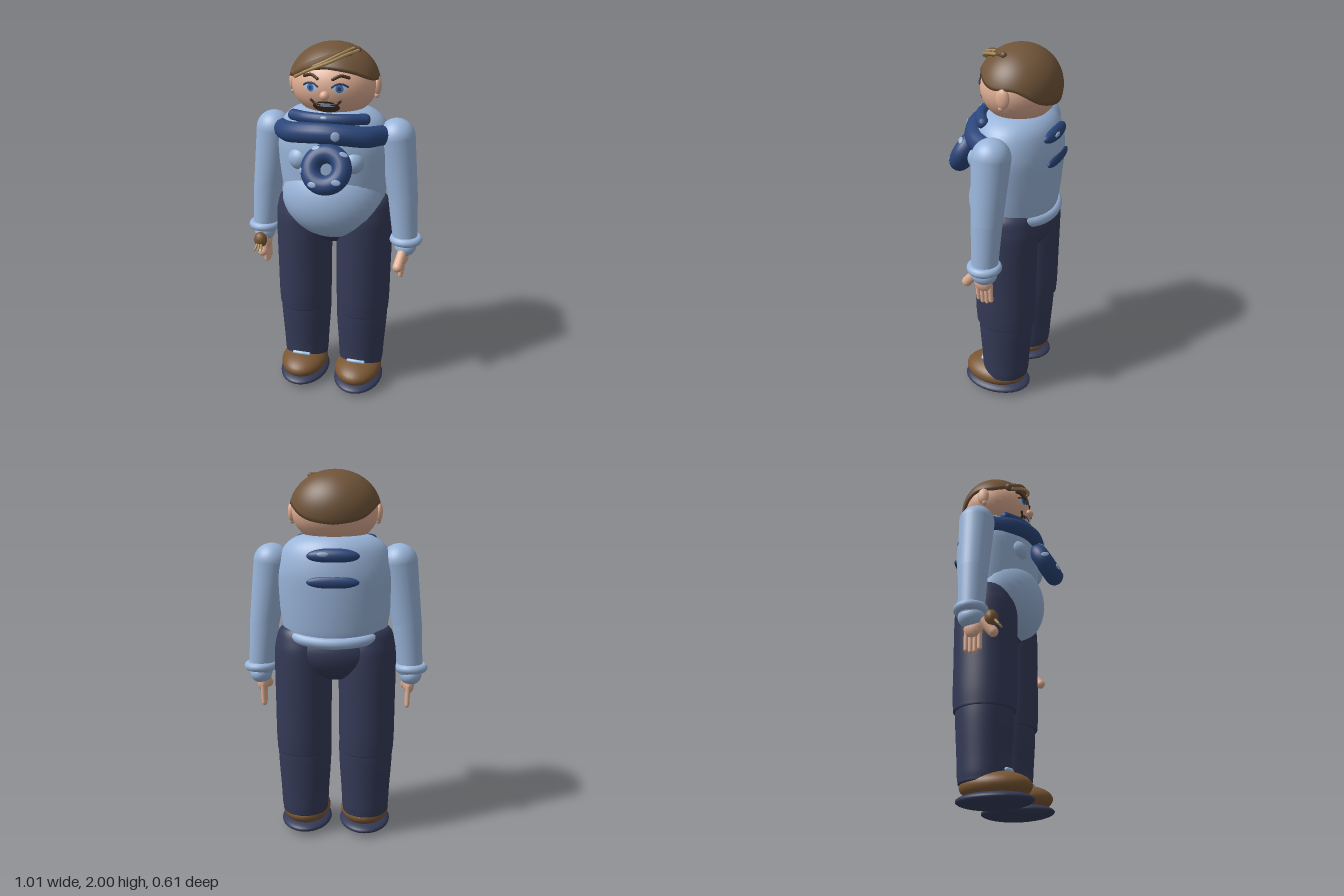
import * as THREE from 'three';

const mat = (name, color, side = THREE.FrontSide) => {
  const m = new THREE.MeshStandardMaterial({ color, side });
  m.name = name;
  return m;
};

export function createModel() {
  const model = new THREE.Group();
  model.name = 'standingMan';
  const skin = mat('skin', 0xdfae94);
  const hair = mat('hairBrown', 0x705439, THREE.DoubleSide);
  const gold = mat('goldenStrand', 0xa88b58);
  const shirt = mat('shirtBlue', 0x9ab5da);
  const scarf = mat('scarfBlue', 0x2b467a);
  const navy = mat('trouserNavy', 0x343a57);
  const leather = mat('shoeBrown', 0x795633);
  const dark = mat('darkBrown', 0x4a3020);
  const pale = mat('paleBlue', 0xa9cdf0);
  const iris = mat('irisBlue', 0x3f6fb0);
  const V = (x, y, z) => new THREE.Vector3(x, y, z);

  const add = (name, geo, material) => {
    const mesh = new THREE.Mesh(geo, material);
    mesh.name = name;
    model.add(mesh);
    return mesh;
  };
  // Ellipsoid, with fewer sides when small
  const ball = (name, m, p, r, rot = [0, 0, 0]) => {
    const n = Math.max(...r) > 0.06 ? 32 : 14;
    const mesh = add(name, new THREE.SphereGeometry(1, n, Math.round(n * 0.65)), m);
    mesh.position.set(...p);
    mesh.scale.set(...r);
    mesh.rotation.set(...rot);
    return mesh;
  };
  const tube = (name, m, pts, r) => {
    const curve = new THREE.CatmullRomCurve3(pts.map(p => V(...p)));
    const big = r > 0.025;
    add(name, new THREE.TubeGeometry(curve, big ? 36 : 20, r, big ? 16 : 8), m);
    for (const p of [pts[0], pts[pts.length - 1]]) ball(name + 'End', m, p, [r, r, r]);
  };
  // Tapered round limb segment with ball ends
  const limb = (name, m, a, b, ra, rb) => {
    const A = V(...a), B = V(...b), d = B.clone().sub(A);
    const mesh = add(name, new THREE.CylinderGeometry(rb, ra, d.length(), ra > 0.06 ? 32 : 14, 1, true), m);
    mesh.position.copy(A).add(B).multiplyScalar(0.5);
    mesh.quaternion.setFromUnitVectors(V(0, 1, 0), d.normalize());
    ball(name + 'Start', m, a, [ra, ra, ra]);
    ball(name + 'Tip', m, b, [rb, rb, rb]);
  };
  const lathe = (name, m, profile, p, zScale) => {
    const curve = new THREE.SplineCurve(profile.map(q => new THREE.Vector2(...q)));
    const pts = curve.getPoints(40).map(q => new THREE.Vector2(Math.max(0, q.x), q.y));
    const mesh = add(name, new THREE.LatheGeometry(pts, 44), m);
    mesh.position.set(...p);
    mesh.scale.z = zScale;
  };

  // Torso, belly and chest
  lathe('torso', shirt, [[0, 1.05], [0.2, 1.07], [0.265, 1.13], [0.288, 1.22], [0.308, 1.4],
    [0.307, 1.5], [0.275, 1.6], [0.21, 1.655], [0.12, 1.677], [0, 1.682]], [0, 0, -0.07], 0.73);
  ball('belly', shirt, [0, 1.18, -0.03], [0.28, 0.235, 0.222]);
  for (const s of [-1, 1]) ball('chest', shirt, [s * 0.14, 1.42, 0.09], [0.065, 0.065, 0.065]);
  tube('shirtHem', shirt, [[-0.24, 1.15, -0.15], [-0.15, 1.13, -0.23], [0, 1.12, -0.265],
    [0.15, 1.13, -0.23], [0.24, 1.15, -0.15]], 0.03);
  ball('hips', navy, [0, 1.05, -0.09], [0.27, 0.16, 0.17]);

  for (const s of [-1, 1]) {
    // Leg with a knee seam, shoe and lace
    lathe('upperLeg', navy, [[0, 0.46], [0.13, 0.48], [0.15, 0.52], [0.154, 0.75], [0.156, 1],
      [0.148, 1.1], [0.115, 1.18], [0, 1.21]], [s * 0.174, 0, -0.07], 1.1);
    lathe('lowerLeg', navy, [[0, 0.11], [0.11, 0.115], [0.128, 0.14], [0.135, 0.25], [0.148, 0.48],
      [0.13, 0.54], [0, 0.56]], [s * 0.17, 0, -0.07], 1.02);
    ball('shoe', leather, [s * 0.167, 0.105, -0.01], [0.136, 0.075, 0.185]);
    ball('sole', navy, [s * 0.167, 0.04, -0.015], [0.143, 0.04, 0.198]);
    tube('lace', pale, [[s * 0.122, 0.178, 0.062], [s * 0.167, 0.182, 0.068], [s * 0.212, 0.178, 0.062]], 0.01);

    // Arm, cuff and hand
    limb('upperArm', shirt, [s * 0.338, 1.525, -0.068], [s * 0.385, 1.2, -0.062], 0.098, 0.08);
    limb('forearm', shirt, [s * 0.385, 1.2, -0.062], [s * 0.408, 0.95, -0.058], 0.08, 0.068);
    const cuff = add('cuff', new THREE.TorusGeometry(0.067, 0.024, 14, 36), shirt);
    cuff.position.set(s * 0.412, 0.952, -0.058);
    cuff.rotation.x = Math.PI / 2;
    ball('sleeveEnd', shirt, [s * 0.412, 0.91, -0.055], [0.06, 0.055, 0.07]);
    ball('palm', skin, [s * 0.403, 0.855, -0.045], [0.032, 0.055, 0.052]);
    for (let i = 0; i < 4; i++) {
      const z = -0.012 - i * 0.024, tip = 0.745 - (i === 1 || i === 2 ? 0.012 : 0);
      limb('finger', skin, [s * 0.4, 0.85, z], [s * 0.396, tip, z - 0.002], 0.013, 0.012);
    }
    limb('thumb', skin, [s * 0.402, 0.885, 0.005], [s * 0.39, 0.825, 0.055], 0.026, 0.027);
  }

  // Small round charm held in the right hand
  ball('heldBall', leather, [-0.403, 0.895, 0.05], [0.038, 0.045, 0.035]);
  for (let i = -1; i <= 1; i++)
    limb('heldProng', gold, [-0.403 + i * 0.012, 0.875, 0.075], [-0.403 + i * 0.02, 0.848, 0.098], 0.008, 0.005);

  // Scarf: front band, collar roll, knot ring and the parts showing at the back
  tube('scarfBand', scarf, [[-0.262, 1.542, -0.005], [-0.2, 1.552, 0.078], [-0.1, 1.568, 0.128],
    [0, 1.576, 0.145], [0.1, 1.568, 0.128], [0.2, 1.552, 0.078], [0.262, 1.542, -0.005]], 0.055);
  tube('scarfCollar', scarf, [[-0.19, 1.635, 0.045], [-0.1, 1.64, 0.1], [0, 1.642, 0.12],
    [0.1, 1.64, 0.1], [0.19, 1.635, 0.045]], 0.03);
  const knot = add('scarfRing', new THREE.TorusGeometry(0.082, 0.051, 20, 44), scarf);
  knot.position.set(0.032, 1.41, 0.215);
  knot.rotation.x = -0.5;
  ball('scarfBackUpper', scarf, [0, 1.57, -0.262], [0.135, 0.04, 0.038], [0.25, 0, 0]);
  ball('scarfBackLower', scarf, [0, 1.44, -0.285], [0.135, 0.033, 0.022]);
  // Pale flecks lying on the ring and band
  for (const [a, b] of [[2.1, 0.9], [0.7, 0.8], [4.2, 1.1], [5.5, 1.2], [3.3, 0.5]]) {
    const r = 0.082 + 0.051 * Math.cos(b);
    const fleck = new THREE.Mesh(new THREE.SphereGeometry(1, 14, 8), shirt);
    fleck.name = 'scarfFleck';
    fleck.position.set(Math.cos(a) * r, Math.sin(a) * r, 0.051 * Math.sin(b));
    fleck.scale.set(0.024, 0.015, 0.004);
    fleck.quaternion.setFromUnitVectors(V(0, 0, 1),
      V(Math.cos(a) * Math.cos(b), Math.sin(a) * Math.cos(b), Math.sin(b)));
    knot.add(fleck);
  }
  ball('bandFleck', shirt, [0.073, 1.575, 0.19], [0.024, 0.025, 0.006], [0, 0.3, 0]);
  ball('collarFleck', shirt, [0, 1.655, 0.147], [0.018, 0.008, 0.005], [-0.4, 0, 0]);
  ball('backFleck', shirt, [0.05, 1.58, -0.298], [0.03, 0.012, 0.006]);

  // Head, ears and nose
  const hc = V(0, 1.79, -0.075), hr = V(0.228, 0.175, 0.198);
  ball('head', skin, hc.toArray(), hr.toArray());
  for (const s of [-1, 1]) {
    ball('ear', skin, [s * 0.228, 1.785, -0.078], [0.02, 0.052, 0.036]);
    ball('earLobe', skin, [s * 0.226, 1.738, -0.07], [0.014, 0.016, 0.016]);
  }
  ball('nose', skin, [0, 1.762, 0.127], [0.025, 0.024, 0.025]);

  // Face details follow the front of the head
  const faceZ = (x, y) => hc.z + hr.z * Math.sqrt(Math.max(0, 1 - (x / hr.x) ** 2 - ((y - hc.y) / hr.y) ** 2));
  const patch = (name, m, cx, cy, rx, ry, lift) => {
    const g = new THREE.RingGeometry(0.001, 1, 28, 4), p = g.attributes.position;
    for (let i = 0; i < p.count; i++) {
      const x = cx + p.getX(i) * rx, y = cy + p.getY(i) * ry;
      p.setXYZ(i, x, y, faceZ(x, y) + lift);
    }
    g.computeVertexNormals();
    add(name, g, m);
  };
  const faceLine = (name, m, pts, r) => tube(name, m, pts.map(([x, y]) => [x, y, faceZ(x, y) + 0.004]), r);
  for (const s of [-1, 1]) {
    patch('eyeWhite', pale, s * 0.075, 1.8, 0.036, 0.021, 0.004);
    patch('eyeIris', iris, s * 0.075, 1.799, 0.019, 0.02, 0.007);
    patch('eyePupil', navy, s * 0.075, 1.799, 0.009, 0.01, 0.009);
    faceLine('eyelid', navy, [[s * 0.037, 1.806], [s * 0.06, 1.82], [s * 0.09, 1.82], [s * 0.114, 1.808]], 0.005);
    faceLine('eyebrow', dark, [[s * 0.04, 1.843], [s * 0.075, 1.859], [s * 0.115, 1.85]], 0.008);
    faceLine('moustacheTip', dark, [[s * 0.03, 1.715], [s * 0.06, 1.72], [s * 0.076, 1.735]], 0.007);
  }
  patch('beard', dark, 0, 1.699, 0.07, 0.034, 0.006);
  patch('mouth', pale, 0, 1.712, 0.052, 0.011, 0.009);

  // Hair cap: rows run from the crown down to a hairline that varies round the head
  const line = new THREE.SplineCurve([1.897, 1.875, 1.825, 1.822, 1.75, 1.725].map((y, i) => new THREE.Vector2(i, y)));
  const cols = 64, rows = 18, pos = [], idx = [];
  for (let j = 0; j <= rows + 1; j++) for (let i = 0; i <= cols; i++) {
    const a = (i / cols) * Math.PI * 2, t = Math.min(a, Math.PI * 2 - a) / Math.PI;
    const end = Math.acos((line.getPoint(t).y - 1.79) / 0.21);
    const th = end * Math.min(1, j / rows), k = j > rows ? 0.9 : 1;
    pos.push(0.24 * k * Math.sin(th) * Math.sin(a), 1.79 + 0.21 * k * Math.cos(th),
      -0.073 + 0.213 * k * Math.sin(th) * Math.cos(a));
    if (j <= rows && i < cols) {
      const q = j * (cols + 1) + i, w = q + cols + 1;
      idx.push(q, w, q + 1, q + 1, w, w + 1);
    }
  }
  const cap = new THREE.BufferGeometry();
  cap.setAttribute('position', new THREE.Float32BufferAttribute(pos, 3));
  cap.setIndex(idx);
  cap.computeVertexNormals();
  add('hairCap', cap, hair);

  // Swept fringe locks
  tube('fringeLock', hair, [[-0.17, 1.855, 0.058], [-0.09, 1.895, 0.1], [0.01, 1.935, 0.088], [0.1, 1.965, 0.02]], 0.022);
  tube('fringeLock', hair, [[-0.14, 1.875, 0.07], [-0.03, 1.925, 0.095], [0.07, 1.965, 0.045], [0.13, 1.968, -0.04]], 0.016);
  tube('goldenLock', gold, [[-0.165, 1.842, 0.082], [-0.08, 1.885, 0.125], [0.02, 1.925, 0.118], [0.09, 1.955, 0.07], [0.14, 1.97, 0]], 0.008);
  tube('goldenLock', gold, [[-0.12, 1.885, 0.098], [-0.03, 1.915, 0.122], [0.06, 1.958, 0.085], [0.12, 1.982, 0.01]], 0.007);

  return model;
}
